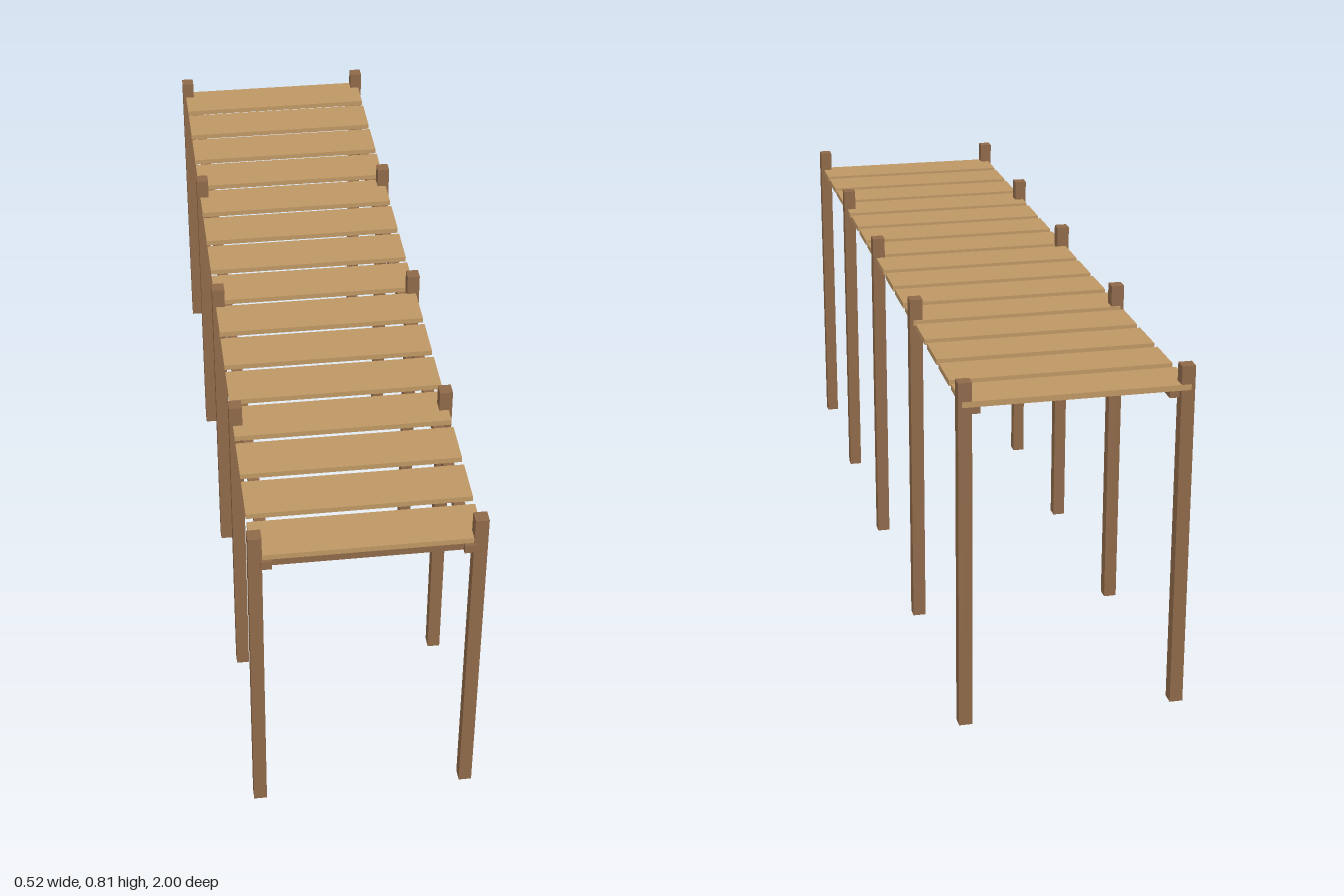
import * as THREE from 'three';

export function createModel() {
  const group = new THREE.Group();
  const plankWood = new THREE.MeshStandardMaterial({ color: 0xc09865 });
  plankWood.name = 'light plank wood';
  const frameWood = new THREE.MeshStandardMaterial({ color: 0x906a4a });
  frameWood.name = 'brown frame wood';

  // Box given by its size and centre
  function box(name, material, size, centre) {
    const mesh = new THREE.Mesh(new THREE.BoxGeometry(...size), material);
    mesh.name = name;
    mesh.position.set(...centre);
    group.add(mesh);
  }

  // Deck planks, evenly spaced with gaps
  const plankCount = 15;
  for (let i = 0; i < plankCount; i++) {
    const z = -0.945 + i * (1.882 / (plankCount - 1));
    box('plank', plankWood, [0.5, 0.013, 0.11], [0, 0.7585, z]);
  }

  // Posts in pairs, the back pair slightly shorter
  const postZ = [0.98, 0.535, 0.064, -0.444, -0.985];
  for (const side of [-1, 1]) {
    postZ.forEach((z, i) => {
      const height = i === 4 ? 0.807 : 0.815;
      box('post', frameWood, [0.03, height, 0.03], [side * 0.243, height / 2, z]);
    });

    // Long rails under the planks, inside the posts
    box('sideRail', frameWood, [0.025, 0.021, 1.985], [side * 0.2195, 0.7415, 0.0075]);
  }

  // Cross beam joining the front posts
  box('frontBeam', frameWood, [0.46, 0.021, 0.025], [0, 0.7415, 0.975]);

  return group;
}
